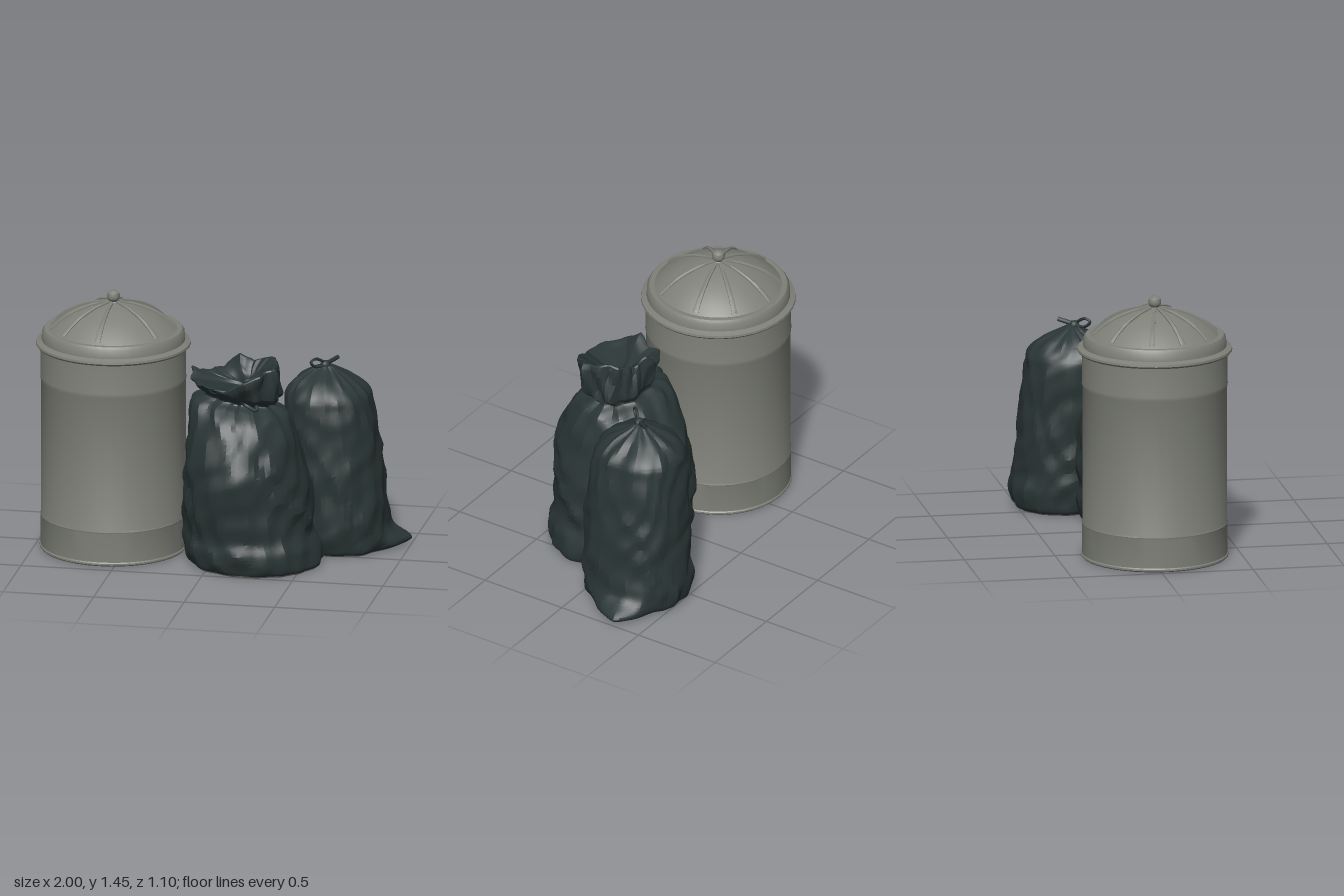
import * as THREE from 'three';
import { toCreasedNormals } from 'three/addons/utils/BufferGeometryUtils.js';

const mat = (name, color, side = THREE.FrontSide) => {
  const m = new THREE.MeshStandardMaterial({ color, side });
  m.name = name;
  return m;
};

function mesh(name, geometry, material, parent) {
  const m = new THREE.Mesh(geometry, material);
  m.name = name;
  parent.add(m);
  return m;
}

// Closed-around surface: rows run along v (0..1), columns run around angle a
function loft(rows, cols, point, crease) {
  const pos = [], idx = [];
  for (let r = 0; r <= rows; r++)
    for (let c = 0; c < cols; c++) pos.push(...point(r / rows, (c / cols) * Math.PI * 2).toArray());
  for (let r = 0; r < rows; r++)
    for (let c = 0; c < cols; c++) {
      const a = r * cols + c, b = r * cols + ((c + 1) % cols), d = a + cols, e = b + cols;
      idx.push(a, d, b, b, d, e);
    }
  const g = new THREE.BufferGeometry();
  g.setAttribute('position', new THREE.Float32BufferAttribute(pos, 3));
  g.setIndex(idx);
  return toCreasedNormals(g, crease);
}

const lathe = (pts, seg) =>
  toCreasedNormals(new THREE.LatheGeometry(pts.map(p => new THREE.Vector2(...p)), seg), 0.6);

const bell = (x, w) => Math.exp(-(x * x) / (w * w));
const angleGap = (a, b) => Math.atan2(Math.sin(a - b), Math.cos(a - b));
// Zigzag wave with period PI, from -0.5 to 0.5
const fold = x => 2 * Math.abs(x / Math.PI - Math.floor(x / Math.PI) - 0.5) - 0.5;

// Crumpled plastic: crossing diagonal folds, vertical gathers at the neck, a rougher collar above it
function crumple(a, y, seed, neckY) {
  const warp = Math.sin(2 * a + 4 * y + seed) + 0.8 * Math.sin(3 * a - 7 * y + 2 * seed);
  const body = 0.035 * fold(2 * a + 5 * y + warp + seed) + 0.04 * fold(4 * a - 7 * y + 1.4 * warp)
    + 0.035 * fold(5 * a + 9 * y - 1.5 * warp + 2 * seed) + 0.02 * fold(3 * a + 14 * y + 1.4 * warp);
  const rough = 1 + 1.5 * THREE.MathUtils.smoothstep(y, neckY, neckY + 0.06);
  return rough * body + 0.15 * bell(y - neckY, 0.1) * fold(6 * a + 0.9 * warp);
}

// Bag surface from rings of [y, xMin, xMax, zMin, zMax]
function bagSurface(rings, boxiness, seed, neckY, adjust) {
  const xs = new THREE.CatmullRomCurve3(rings.map(r => new THREE.Vector3(r[1], r[0], r[2])), false, 'catmullrom', 0.5);
  const zs = new THREE.CatmullRomCurve3(rings.map(r => new THREE.Vector3(r[3], r[0], r[4])), false, 'catmullrom', 0.5);
  const box = v => Math.sign(v) * Math.abs(v) ** boxiness;
  return (v, a) => {
    const X = xs.getPoint(v), Z = zs.getPoint(v), y = Math.max(0, X.y);
    const k = 1 + crumple(a, y, seed, neckY);
    const p = new THREE.Vector3(
      (X.x + X.z) / 2 + ((X.z - X.x) / 2) * k * box(Math.cos(a)), y,
      (Z.x + Z.z) / 2 + ((Z.z - Z.x) / 2) * k * box(Math.sin(a)));
    return adjust(p, a);
  };
}

function addBag(parent, name, surface, center, mats) {
  const bag = new THREE.Group();
  bag.name = name;
  parent.add(bag);
  // The dirty base curls slightly up the sides before the plastic begins
  const hem = 0.03;
  mesh('sack', loft(72, 64, (v, a) => surface(hem + (1 - hem) * v, a), 0.32), mats.bag, bag);
  const mid = new THREE.Vector3(center[0], 0, center[1]);
  mesh('sackUnderside', loft(2, 64, (v, a) =>
    v > 0.5 ? surface(hem * (2 * v - 1), a) : mid.clone().lerp(surface(0, a), 2 * v), 0.32), mats.base, bag);
  return bag;
}

function cord(name, pts, radius, material, parent) {
  const path = new THREE.CatmullRomCurve3(pts.map(p => new THREE.Vector3(...p)));
  mesh(name, new THREE.TubeGeometry(path, 24, radius, 6), material, parent);
}

function addCan(parent, mats) {
  const can = new THREE.Group();
  can.name = 'trashCan';
  can.position.set(-0.58, 0, 0.035);
  parent.add(can);

  // Body with rolled foot and two shallow bands
  mesh('canBody', lathe([
    [0.395, 0], [0.4, 0.006], [0.4, 0.015], [0.395, 0.021], [0.395, 0.183], [0.397, 0.19], [0.393, 0.2],
    [0.393, 0.95], [0.397, 0.961], [0.395, 0.973], [0.395, 1.15],
  ], 40), mats.metal, can);
  const bottom = mesh('canUnderside', new THREE.CircleGeometry(0.395, 40), mats.base, can);
  bottom.rotation.x = Math.PI / 2;

  // Lid with rolled rim, skirt and dome
  const dome = [[0.345, 1.235], [0.3, 1.275], [0.22, 1.326], [0.12, 1.364], [0.04, 1.38]];
  mesh('lid', lathe([
    [0.39, 1.14], [0.413, 1.14], [0.421, 1.15], [0.419, 1.162], [0.403, 1.168], [0.39, 1.174],
    [0.387, 1.217], [0.375, 1.235], [0.36, 1.239], ...dome, [0, 1.383],
  ], 40), mats.metal, can);
  mesh('lidKnob', lathe([
    [0.03, 1.374], [0.02, 1.386], [0.033, 1.4], [0.036, 1.416], [0.031, 1.434], [0.016, 1.445], [0, 1.447],
  ], 16), mats.metal, can);

  // Tapered ribs pressed into the dome
  const spine = new THREE.CatmullRomCurve3(dome.map(([r, y]) => new THREE.Vector3(r - 0.008, y + 0.004, 0)));
  const rib = loft(12, 6, (v, a) => {
    const p = spine.getPoint(v), s = 0.018 - 0.009 * v;
    return p.add(new THREE.Vector3(0.3 * s * Math.cos(a), 0.8 * s * Math.cos(a), s * Math.sin(a)));
  }, 0.9);
  // Clockwise degrees from the back
  for (const deg of [1, 41, 78, 125, 184, 223, 253, 283, 325]) {
    mesh('lidRib', rib, mats.metal, can).rotation.y = Math.PI / 2 - THREE.MathUtils.degToRad(deg);
  }
}

export function createModel() {
  const model = new THREE.Group();
  model.name = 'trashCanAndBags';
  const mats = {
    metal: mat('galvanisedMetal', 0x7e8078),
    bag: mat('darkPlastic', 0x2a3535, THREE.DoubleSide),
    base: mat('dirtyUnderside', 0x7c7874),
  };

  addCan(model, mats);

  // Wide bag with a ragged, crumpled collar above the tied neck
  const rim = [1.13, 1.12, 1.1, 1.07, 1.03, 1.03, 1.04, 1.05, 1.1, 1.04, 1.04, 1.05, 1.13, 1.1, 1.13, 1.15];
  const rimHeight = a => {
    const f = (a / (Math.PI * 2)) * 16, i = Math.floor(f) % 16;
    return THREE.MathUtils.lerp(rim[i], rim[(i + 1) % 16], f - Math.floor(f));
  };
  const openSurface = bagSurface([
    [0, -0.11, 0.57, -0.18, 0.49], [0.03, -0.14, 0.59, -0.22, 0.51], [0.12, -0.165, 0.58, -0.245, 0.525],
    [0.2, -0.155, 0.545, -0.235, 0.51], [0.32, -0.16, 0.54, -0.25, 0.53], [0.5, -0.155, 0.5, -0.245, 0.545],
    [0.62, -0.145, 0.475, -0.22, 0.525], [0.75, -0.13, 0.45, -0.16, 0.47], [0.84, -0.13, 0.41, -0.09, 0.41],
    [0.89, -0.12, 0.37, -0.03, 0.35], [0.925, -0.05, 0.33, 0.03, 0.3], [0.98, -0.08, 0.37, 0.01, 0.38],
    [1.1, -0.11, 0.355, 0.025, 0.42], [1.07, -0.04, 0.3, 0.08, 0.35], [1.03, 0.06, 0.25, 0.12, 0.25],
    [1.01, 0.17, 0.17, 0.18, 0.18],
  ], 0.97, 0.6, 0.93, (p, a) => {
    if (p.y > 0.98) p.y = 0.98 + ((p.y - 0.98) * (rimHeight(a) - 0.98)) / 0.12;
    // The neck slopes down towards the left
    p.y -= 0.16 * (p.x - 0.14) * bell(p.y - 0.94, 0.08);
    return p;
  });
  const openBag = addBag(model, 'openBag', openSurface, [0.22, 0.15], mats);
  cord('neckTie', [[0.1, 0.93, 0.28], [0.15, 0.96, 0.33], [0.2, 0.92, 0.3], [0.27, 0.9, 0.33], [0.25, 0.94, 0.28]],
    0.01, mats.bag, openBag);

  // Slim bag gathered to a knot, with one corner dragged out along the ground
  const tiedSurface = bagSurface([
    [0, 0.37, 0.85, -0.49, 0.02], [0.03, 0.35, 0.88, -0.525, 0.04], [0.12, 0.34, 0.885, -0.54, 0.055],
    [0.22, 0.335, 0.88, -0.52, 0.06], [0.4, 0.335, 0.865, -0.51, 0.06], [0.6, 0.33, 0.835, -0.495, 0.055],
    [0.8, 0.325, 0.8, -0.47, 0.04], [0.88, 0.34, 0.775, -0.45, 0.02], [0.95, 0.4, 0.69, -0.38, -0.05],
    [1.0, 0.48, 0.61, -0.28, -0.15], [1.02, 0.52, 0.575, -0.24, -0.18], [1.03, 0.545, 0.545, -0.21, -0.21],
  ], 0.9, 2.3, 0.99, (p, a) => {
    const push = 0.115 * bell(angleGap(a, -0.2), 0.42) * bell(p.y - 0.03, 0.055);
    p.x += push;
    p.z -= 0.2 * push;
    return p;
  });
  const tiedBag = addBag(model, 'tiedBag', tiedSurface, [0.62, -0.24], mats);
  cord('tieLoop', [[0.55, 1.02, -0.2], [0.5, 1.02, -0.15], [0.48, 1.05, -0.125], [0.5, 1.065, -0.15],
    [0.55, 1.03, -0.2]], 0.008, mats.bag, tiedBag);
  cord('tieTail', [[0.53, 1.02, -0.18], [0.56, 1.03, -0.22], [0.6, 1.045, -0.28]], 0.013, mats.bag, tiedBag);
  const knot = mesh('tieKnot', new THREE.IcosahedronGeometry(0.028, 1), mats.bag, tiedBag);
  knot.position.set(0.545, 1.02, -0.2);

  return model;
}
